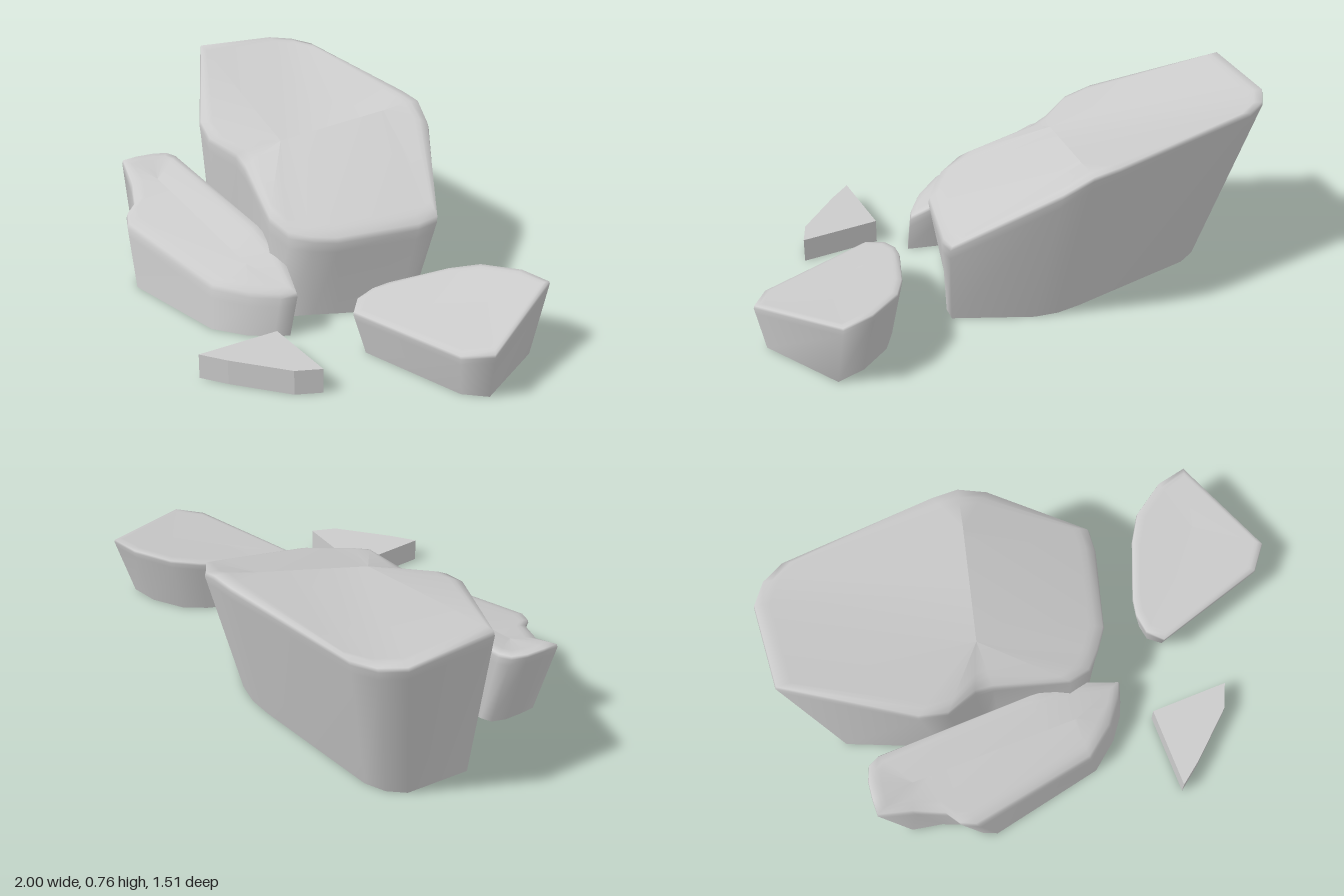
import * as THREE from 'three';

// A rock shell, open underneath: points are [x, z, height] clockwise from above.
// crease is the fold line [start, end] across the top face, in the same order;
// base maps (x, z) of the rim to the ground.
function rock(name, points, crease, base, bevel, flat = false) {
  const [start, end] = crease;
  const along = end.map((v, i) => v - start[i]);
  const length2 = along[0] ** 2 + along[1] ** 2;
  // Nearest point of the fold line
  const target = p => {
    const t = ((p[0] - start[0]) * along[0] + (p[1] - start[1]) * along[1]) / length2;
    return start.map((v, i) => v + along[i] * THREE.MathUtils.clamp(t, 0, 1));
  };
  const inset = (p, d, lift) => {
    const q = target(p);
    const t = d / Math.hypot(q[0] - p[0], q[1] - p[1]);
    return [p[0] + (q[0] - p[0]) * t, p[2] + (q[2] - p[2]) * t + lift, p[1] + (q[1] - p[1]) * t];
  };
  const wall = (p, y) => {
    const [bx, bz] = base(p[0], p[1]);
    const t = y / p[2];
    return [bx + (p[0] - bx) * t, y, bz + (p[1] - bz) * t];
  };

  const rings = [points.map(p => wall(p, 0))];
  if (bevel) {
    rings.push(
      points.map(p => wall(p, p[2] - bevel * 2)),
      points.map(p => wall(p, p[2] - bevel * 0.6)),
      points.map(p => inset(p, bevel * 0.3, 0)),
      points.map(p => inset(p, bevel * 1.4, bevel * 0.2)),
      points.map(p => inset(p, bevel * 2.2, bevel * 0.2)),
    );
  } else rings.push(points.map(p => wall(p, p[2])));
  rings.push(points.map(p => {
    const [x, z, y] = target(p);
    return [x, y, z];
  }));

  const n = points.length;
  const index = [];
  for (let r = 0; r < rings.length - 1; r++) {
    for (let i = 0; i < n; i++) {
      const a = r * n + i, b = r * n + (i + 1) % n;
      index.push(a, a + n, b, b, a + n, b + n);
    }
  }
  const geometry = new THREE.BufferGeometry();
  geometry.setAttribute('position', new THREE.Float32BufferAttribute(rings.flat(2), 3));
  geometry.setIndex(index);
  geometry.computeVertexNormals();
  const mesh = new THREE.Mesh(geometry, new THREE.MeshStandardMaterial({
    color: 0xcccccc, side: THREE.DoubleSide, flatShading: flat,
  }));
  mesh.name = name;
  return mesh;
}

export function createModel() {
  const group = new THREE.Group();
  group.name = 'rockGroup';

  // Tall slanted boulder at the back
  group.add(rock('largeRock', [
    [-1, -0.36, 0.765], [-0.88, -0.68, 0.75], [-0.8, -0.74, 0.745], [-0.7, -0.76, 0.74],
    [-0.08, -0.65, 0.695], [0.03, -0.62, 0.685], [0.13, -0.56, 0.625],
    [0.41, -0.26, 0.39], [0.38, -0.18, 0.375], [0.2, 0.1, 0.36], [0.12, 0.16, 0.36],
    [0.04, 0.207, 0.37], [-0.06, 0.207, 0.405], [-0.33, 0.065, 0.5],
    [-0.4, 0.045, 0.53], [-0.54, 0.06, 0.57], [-0.64, 0.01, 0.605],
  ], [[-0.28, -0.1, 0.58], [-0.05, -0.48, 0.66]],
  (x, z) => [0.858 * x - 0.012, z > 0 ? 4.8 * z * z : 0.72 * z], 0.03));

  // Long, lower rock in front of it
  group.add(rock('mediumRock', [
    [-0.97, 0.16, 0.385], [-0.95, 0.1, 0.39], [-0.92, 0.03, 0.39], [-0.88, -0.02, 0.39],
    [-0.83, -0.03, 0.385], [-0.2, 0.12, 0.305], [-0.02, 0.17, 0.255], [0.145, 0.27, 0.175],
    [0.1, 0.32, 0.17], [0, 0.39, 0.17], [-0.15, 0.447, 0.175], [-0.68, 0.4, 0.255],
    [-0.73, 0.36, 0.27], [-0.75, 0.3, 0.29], [-0.85, 0.22, 0.32],
  ], [[-0.78, 0.13, 0.34], [-0.1, 0.3, 0.232]],
  (x, z) => [0.9 * x + 0.003, 0.94 * z + 0.05], 0.025));

  // Low rock standing apart on the +x side
  const slope = z => 0.232 - 0.21 * z;
  group.add(rock('sideRock', [
    [1, 0.18], [0.9, 0.25], [0.4, 0.25], [0.36, 0.18], [0.37, 0.1], [0.4, 0.04],
    [0.55, -0.15], [0.64, -0.23], [0.8, -0.28], [0.93, -0.27],
  ].map(([x, z]) => [x, z, slope(z)]), [[0.6, 0.08, slope(0.08)], [0.8, -0.05, slope(-0.05)]],
  (x, z) => [0.89 * x + 0.08, 0.774 * z + 0.017], 0.018));

  // Small flat wedge in front
  group.add(rock('smallStone', [
    [0.19, 0.44], [0.5, 0.53], [0.43, 0.61], [0.2, 0.715], [0.09, 0.755],
  ].map(([x, z]) => [x, z, 0.1]), [[0.2, 0.6, 0.1], [0.35, 0.55, 0.1]], (x, z) => [x, z], 0, true));

  return group;
}
